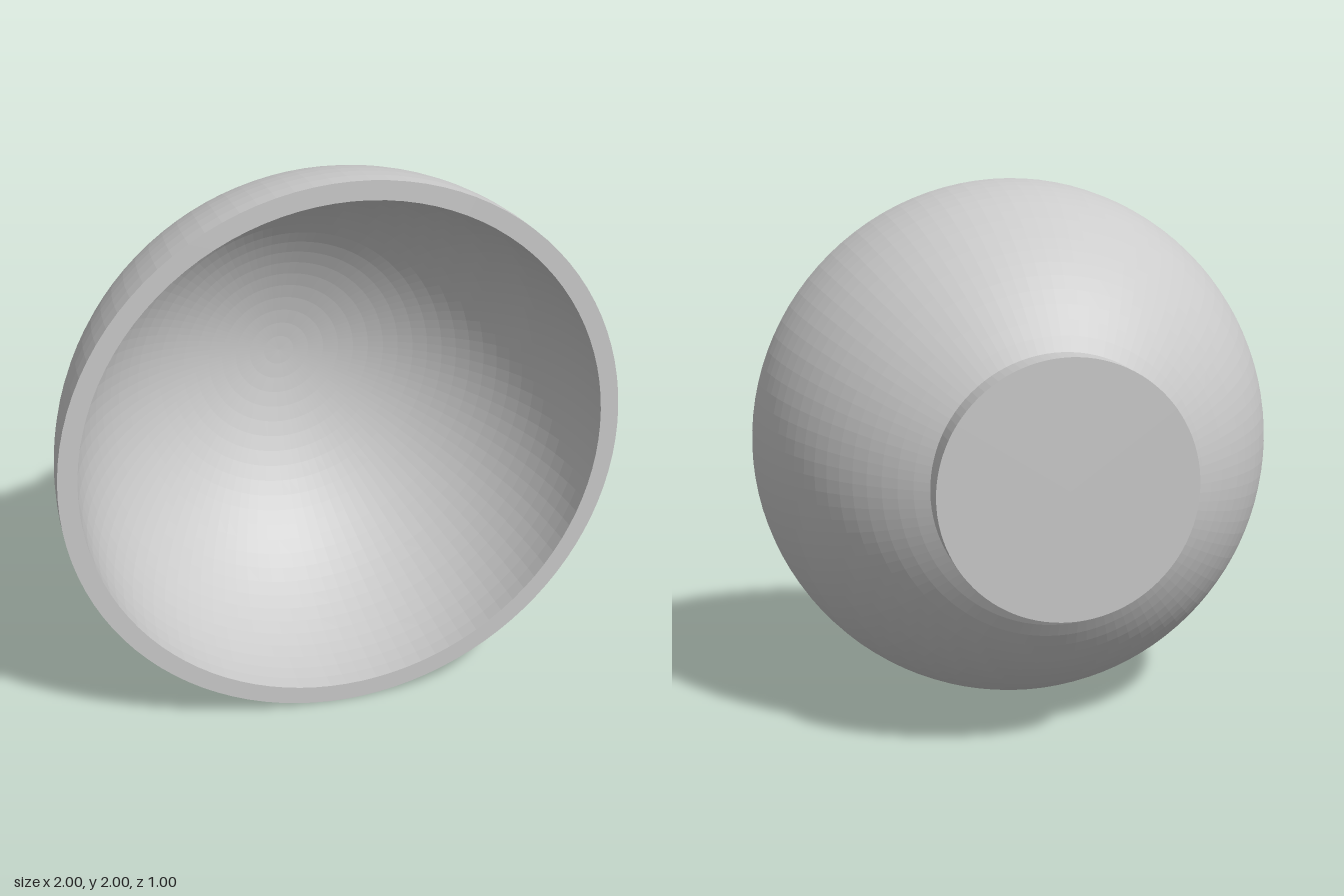
import * as THREE from 'three';

const SEGMENTS = 100;
const RIM_Z = 0.5;      // plane of the open rim, also the sphere centre
const OUTER = 1;
const INNER = 0.933;
const FOOT_RADIUS = 0.463;
const FOOT_BACK = -0.5;

// Points on a circular arc; angle 0 is the pole at the back, PI/2 the rim
function arc(radius, from, to, steps) {
  return Array.from({ length: steps + 1 }, (_, i) => {
    const a = from + (to - from) * i / steps;
    return new THREE.Vector2(Math.max(0, radius * Math.sin(a)), RIM_Z - radius * Math.cos(a));
  });
}

// Turn a profile about the z axis
function turned(name, profile, material) {
  const geometry = new THREE.LatheGeometry(profile, SEGMENTS).rotateX(Math.PI / 2);
  const mesh = new THREE.Mesh(geometry, material);
  mesh.name = name;
  return mesh;
}

export function createModel() {
  const group = new THREE.Group();
  group.name = 'bowl';
  const material = new THREE.MeshStandardMaterial({ color: 0xcccccc, flatShading: true });

  const footAngle = Math.asin(FOOT_RADIUS / OUTER);
  const footFront = RIM_Z - OUTER * Math.cos(footAngle);

  // Bowl shell: outside wall, flat rim, then the inside wall down to its pole
  const outside = arc(OUTER, footAngle, Math.PI / 2, 18);
  const inside = arc(INNER, Math.PI / 2, 0, 25);
  group.add(turned('bowlShell', [...outside, ...inside], material));

  // Foot: solid disc that the bowl stands on
  group.add(turned('foot', [
    new THREE.Vector2(0, FOOT_BACK),
    new THREE.Vector2(FOOT_RADIUS, FOOT_BACK),
    new THREE.Vector2(FOOT_RADIUS, footFront),
  ], material));

  // Stand the model on y = 0
  for (const part of group.children) part.position.y = OUTER;
  return group;
}
